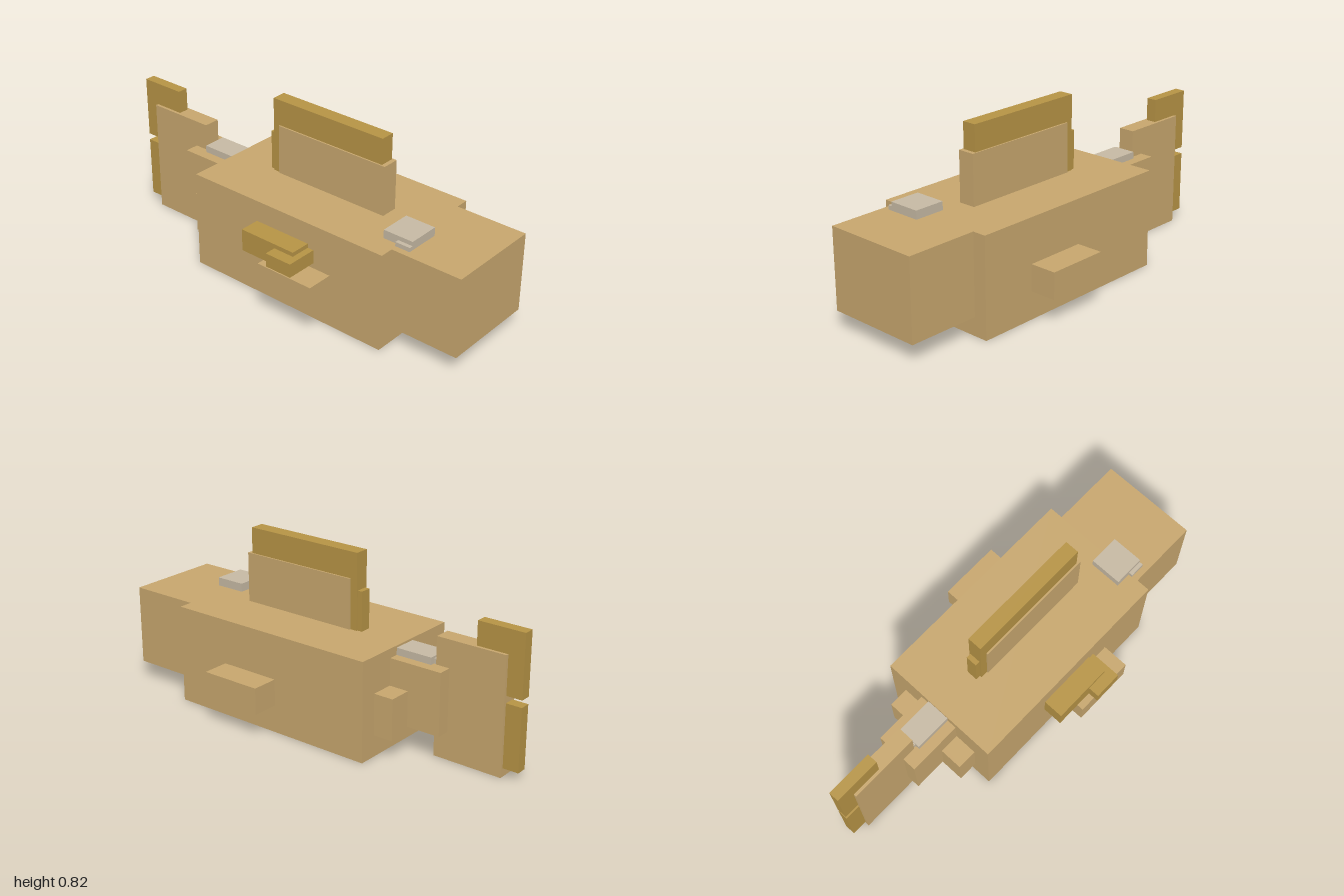
import * as THREE from 'three';

export function createModel() {
  const model = new THREE.Group();
  model.name = 'blockFish';

  const material = (name, color) => {
    const m = new THREE.MeshStandardMaterial({ color });
    m.name = name;
    return m;
  };
  const tan = material('tan', 0xc9a86f);
  const gold = material('gold', 0xb89546);
  const grey = material('warmGrey', 0xc8bba5);

  // Adds a box spanning the given ranges on each axis
  const block = (name, mat, [x0, x1], [y0, y1], [z0, z1]) => {
    const mesh = new THREE.Mesh(new THREE.BoxGeometry(x1 - x0, y1 - y0, z1 - z0), mat);
    mesh.position.set((x0 + x1) / 2, (y0 + y1) / 2, (z0 + z1) / 2);
    mesh.name = name;
    model.add(mesh);
  };

  // Body and head
  block('body', tan, [-0.397, 0.657], [0, 0.465], [-0.308, 0.285]);
  block('head', tan, [0.657, 1], [0.087, 0.465], [-0.243, 0.22]);

  // Tail root
  block('tailRoot', tan, [-0.655, -0.397], [0.13, 0.422], [-0.118, 0.09]);
  block('tailRootSides', tan, [-0.492, -0.397], [0.102, 0.295], [-0.227, 0.2]);
  block('tailPlate', grey, [-0.575, -0.397], [0.422, 0.455], [-0.072, 0.042]);
  block('tailPlateStep', grey, [-0.587, -0.575], [0.422, 0.446], [-0.05, 0.02]);

  // Tail fin with gold tips
  block('tailFin', tan, [-0.925, -0.588], [0, 0.55], [-0.054, 0.024]);
  block('upperTailTip', gold, [-1, -0.775], [0.368, 0.66], [-0.04, 0.01]);
  block('lowerTailTip', gold, [-1, -0.775], [0.04, 0.335], [-0.04, 0.01]);

  // Dorsal fin
  block('dorsalFin', tan, [-0.125, 0.465], [0.465, 0.7], [-0.052, 0.03]);
  block('dorsalCrest', gold, [-0.16, 0.445], [0.465, 0.822], [-0.045, 0.023]);
  block('dorsalRear', gold, [-0.183, -0.16], [0.465, 0.65], [-0.039, 0.014]);

  // Side fins and the gold fin on one flank
  block('leftFin', tan, [0.09, 0.385], [0.13, 0.255], [0.285, 0.412]);
  block('rightFin', tan, [0.09, 0.385], [0.13, 0.255], [-0.435, -0.308]);
  block('flankFin', gold, [-0.028, 0.264], [0.26, 0.365], [0.285, 0.381]);
  block('flankFinTip', gold, [0.16, 0.295], [0.28, 0.345], [0.285, 0.435]);

  // Raised eye
  block('eye', grey, [0.577, 0.725], [0.465, 0.505], [0.018, 0.171]);
  block('eyeRim', grey, [0.652, 0.725], [0.465, 0.485], [0.171, 0.19]);

  return model;
}
